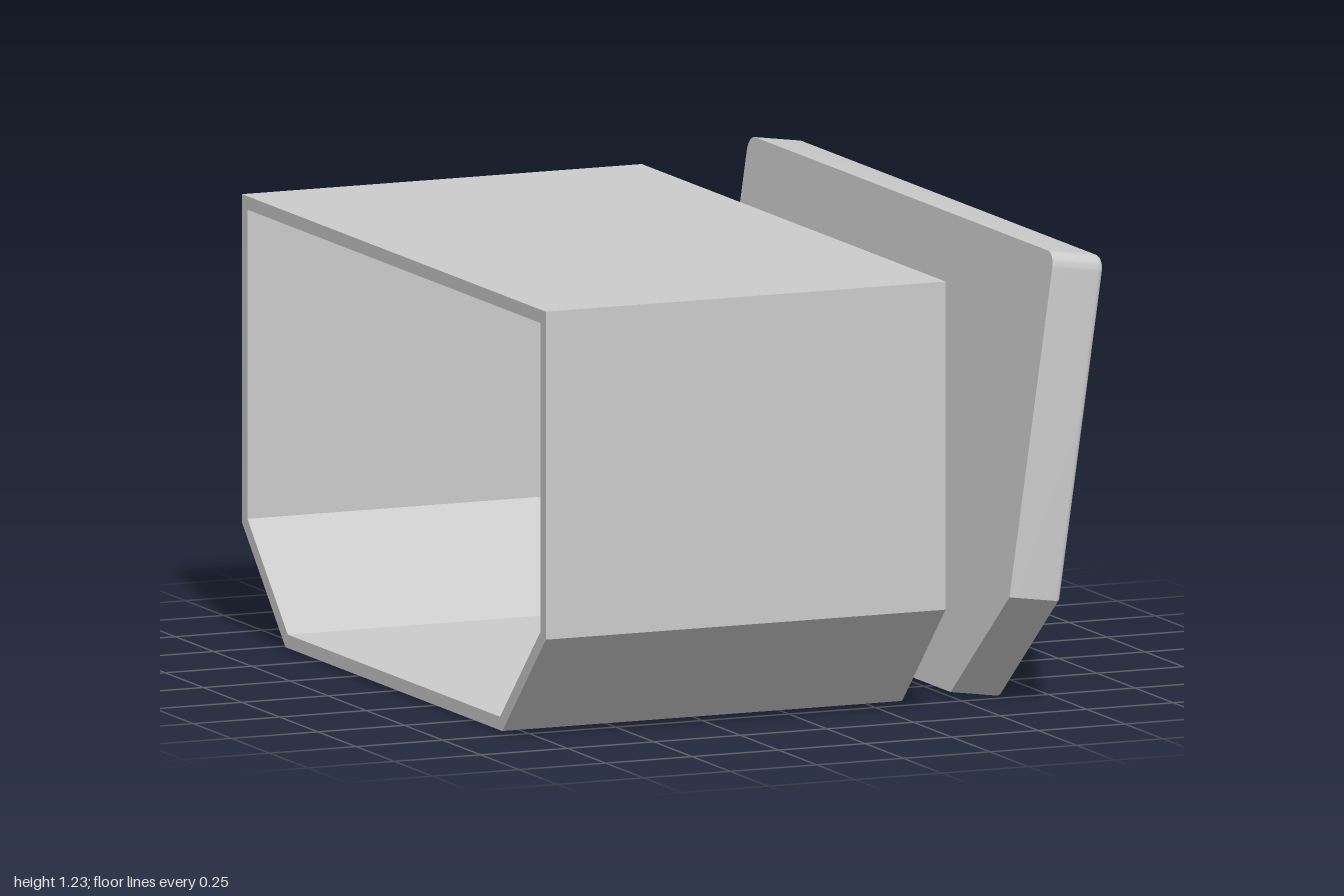
import * as THREE from 'three';
import { toCreasedNormals } from 'three/addons/utils/BufferGeometryUtils.js';

const V = (x, y) => new THREE.Vector2(x, y);

// Points of a circular arc, angles in quarter turns
const arc = (cx, cy, r, from, to, n = 8) =>
  Array.from({ length: n + 1 }, (_, i) => {
    const t = (from + ((to - from) * i) / n) * Math.PI / 2;
    return V(cx + r * Math.cos(t), cy + r * Math.sin(t));
  });

// Move a counter-clockwise outline inwards by d with mitred corners
function inset(pts, d) {
  const n = pts.length;
  const normal = (a, b) => V(a.y - b.y, b.x - a.x).normalize();
  return pts.map((p, i) => {
    const n1 = normal(pts[(i + n - 1) % n], p);
    const n2 = normal(p, pts[(i + 1) % n]);
    return p.clone().addScaledVector(n1.clone().add(n2), d / (1 + n1.dot(n2)));
  });
}

// Skin between outlines stacked at different depths: [{ pts, w }, ...]
function loft(rings) {
  const n = rings[0].pts.length, pos = [], index = [];
  for (const { pts, w } of rings) for (const p of pts) pos.push(p.x, p.y, w);
  for (let i = 0; i < rings.length - 1; i++) {
    for (let j = 0; j < n; j++) {
      const a = i * n + j, b = i * n + ((j + 1) % n);
      index.push(a, b, b + n, a, b + n, a + n);
    }
  }
  const g = new THREE.BufferGeometry();
  g.setAttribute('position', new THREE.Float32BufferAttribute(pos, 3));
  g.setIndex(index);
  return g;
}

function flatFace(pts, w, hole) {
  const shape = new THREE.Shape(pts);
  if (hole) shape.holes.push(new THREE.Path(hole));
  return new THREE.ShapeGeometry(shape).translate(0, 0, w);
}

export function createModel() {
  const model = new THREE.Group();
  const mat = new THREE.MeshStandardMaterial({ color: 0xcccccc });
  const flat = new THREE.MeshStandardMaterial({ color: 0xcccccc, flatShading: true });
  const doubleSided = new THREE.MeshStandardMaterial({ color: 0xcccccc, side: THREE.DoubleSide });

  // Outlines are drawn in xy and then turned so that they face +x
  const add = (parent, name, geo, material) => {
    const mesh = new THREE.Mesh(geo.rotateY(Math.PI / 2), material);
    mesh.name = name;
    parent.add(mesh);
    return mesh;
  };

  // Open sleeve with chamfered lower corners
  const sleeve = [V(-0.71, 0.01), V(0.71, 0.01), V(0.995, 0.3),
    V(0.995, 1.18), V(-0.995, 1.18), V(-0.995, 0.3)];
  const sleeveShape = new THREE.Shape(sleeve);
  sleeveShape.holes.push(new THREE.Path(inset(sleeve, 0.036)));
  const sleeveGeo = new THREE.ExtrudeGeometry(sleeveShape, { depth: 1.155, bevelEnabled: false });
  add(model, 'sleeve', sleeveGeo, mat).position.x = -0.81;

  // Tilted lid
  const lid = new THREE.Group();
  lid.name = 'lid';
  lid.position.set(0.485, 0.024, 0);
  lid.rotation.z = -THREE.MathUtils.degToRad(8.05);
  model.add(lid);

  const T = 0.151, H = 1.224, R = 0.04, N = 0.085, fillet = 0.018;
  const outline = [
    V(0.71, 0), V(1, 0.3),
    ...arc(1 - R, H - R, R, 0, 1), ...arc(-1 + R, H - R, R, 1, 2),
    V(-1, 0.3), V(-0.71, 0),
    // finger notch in the lower edge
    V(-0.175, 0), ...arc(-0.09, 0.01, N, 2, 1), ...arc(0.09, 0.01, N, 1, 0), V(0.175, 0),
  ];

  // Rim with a small fillet around the outer face
  const rimRings = [{ pts: outline, w: 0 }];
  for (let i = 0; i <= 4; i++) {
    const t = (i / 4) * Math.PI / 2;
    rimRings.push({
      pts: inset(outline, fillet * (1 - Math.cos(t))),
      w: T - fillet * (1 - Math.sin(t)),
    });
  }
  add(lid, 'lidRim', toCreasedNormals(loft(rimRings), 0.55), mat);

  // Stepped oblong recess in the outer face
  const oblong = (r) => [...arc(0.017 + 0.53, 0.517, r, -1, 1, 10), ...arc(0.017 - 0.53, 0.517, r, 1, 3, 10)];
  const recess = [[0.318, 0], [0.242, 0.045], [0.055, 0.08]].map(([r, d]) => ({ pts: oblong(r), w: T - d }));
  add(lid, 'recessWall', loft(recess), flat);
  add(lid, 'recessFloor', flatFace(recess[2].pts, recess[2].w), mat);

  add(lid, 'lidFace', flatFace(rimRings.at(-1).pts, T, recess[0].pts), mat);
  add(lid, 'lidBack', flatFace(outline, 0), doubleSided);

  return model;
}
